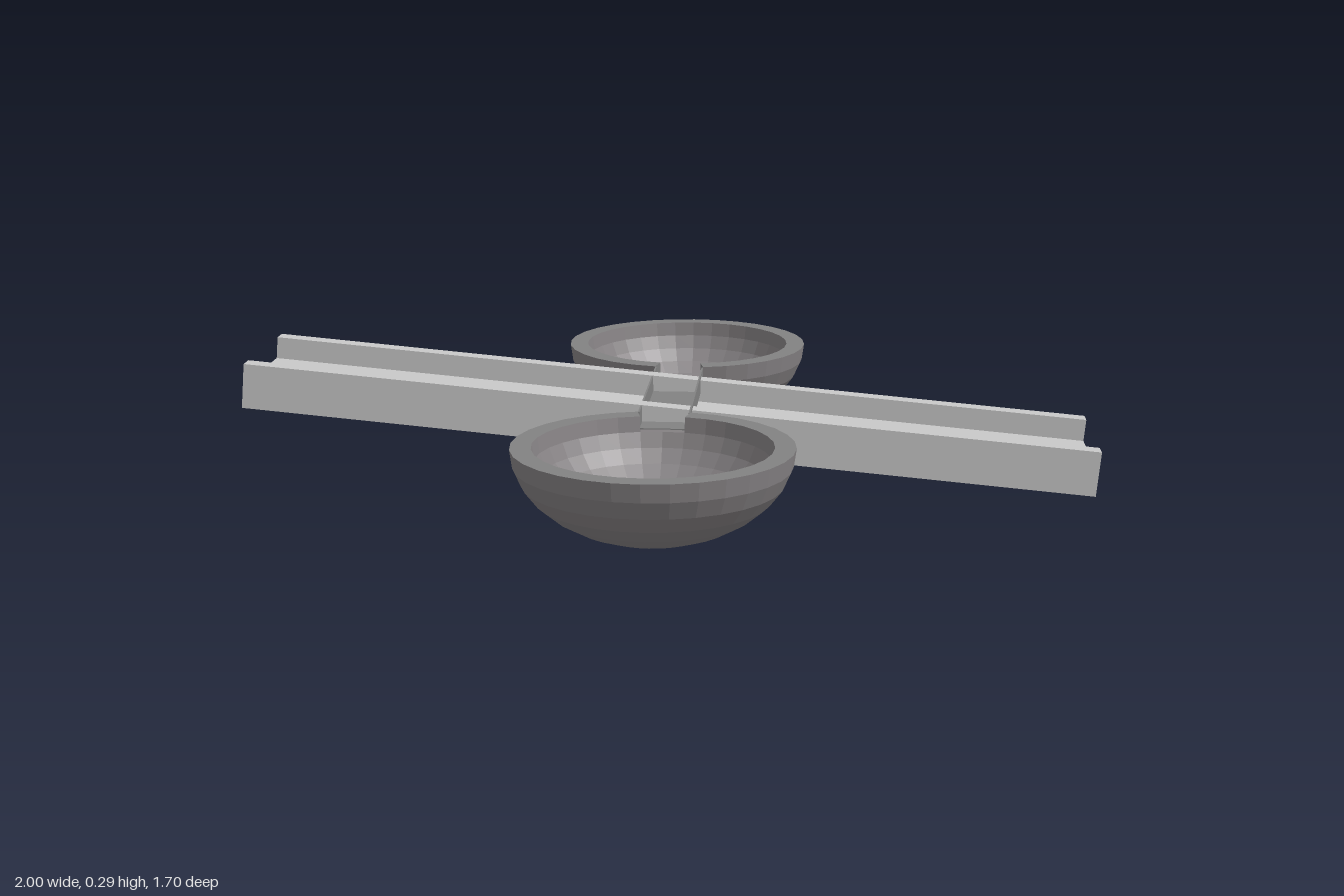
import * as THREE from 'three';

export function createModel() {
  const model = new THREE.Group();
  const plankGrey = new THREE.MeshStandardMaterial({ color: 0xc6c6c6 });
  plankGrey.name = 'light grey';
  const bowlGrey = new THREE.MeshStandardMaterial({ color: 0x868284, side: THREE.DoubleSide });
  bowlGrey.name = 'warm grey';
  const channelGrey = new THREE.MeshStandardMaterial({ color: 0x828282, side: THREE.DoubleSide });
  channelGrey.name = 'mid grey';

  // Facets the geometry and adds it as a named mesh
  const add = (parent, name, geometry, material) => {
    const g = geometry.index ? geometry.toNonIndexed() : geometry;
    g.computeVertexNormals();
    const mesh = new THREE.Mesh(g, material);
    mesh.name = name;
    parent.add(mesh);
    return mesh;
  };
  const V = (x, y) => new THREE.Vector2(x, y);

  // Sloping trough: U section swept along x
  const L = 1.998, W = 0.175, R = 0.133, H = 0.053;
  const section = new THREE.Shape([
    V(-W, -H), V(W, -H), V(W, H), V(R, H), V(R, 0), V(-R, 0), V(-R, H), V(-W, H),
  ]);
  const troughGeo = new THREE.ExtrudeGeometry(section, { depth: L, bevelEnabled: false });
  troughGeo.translate(0, 0, -L / 2).rotateY(Math.PI / 2);
  const trough = add(model, 'slopingTrough', troughGeo, plankGrey);
  trough.position.y = 0.152;
  trough.rotation.z = -THREE.MathUtils.degToRad(5);

  // Half-ellipsoid bowls with a two-facet notch in the rim
  const SEG = 32, RINGS = 8, step = (Math.PI * 2) / SEG;
  const radius = 0.308, depth = 0.21, inner = 0.85;
  const point = (i, s) => {
    const a = (i / RINGS) * Math.PI / 2;
    return V(i === RINGS ? 0 : radius * s * Math.cos(a), depth - depth * s * Math.sin(a));
  };
  const bodyProfile = [];
  for (let i = RINGS; i >= 1; i--) bodyProfile.push(point(i, 1));
  for (let i = 1; i <= RINGS; i++) bodyProfile.push(point(i, inner));
  const rim = [point(1, 1), point(0, 1), point(0, inner), point(1, inner)];

  for (const side of [-1, 1]) {
    const bowl = new THREE.Group();
    bowl.name = side > 0 ? 'frontBowl' : 'backBowl';
    add(bowl, 'bowlBody', new THREE.LatheGeometry(bodyProfile, SEG), bowlGrey);
    // Rim band split so its flat top takes the channel colour
    const band = (from) => new THREE.LatheGeometry(rim.slice(from, from + 2), SEG - 2, step, step * (SEG - 2));
    add(bowl, 'rimOutside', band(0), bowlGrey);
    add(bowl, 'rimTop', band(1), channelGrey);
    add(bowl, 'rimInside', band(2), bowlGrey);
    for (const phi of [step, -step]) {
      const end = new THREE.ShapeGeometry(new THREE.Shape(rim));
      add(bowl, 'notchEnd', end.rotateY(phi - Math.PI / 2), channelGrey);
    }
    bowl.position.z = side * 0.54;
    bowl.rotation.y = side > 0 ? Math.PI : 0;
    model.add(bowl);
  }

  // Thin open channel joining the two notches
  const channel = new THREE.Group();
  channel.name = 'crossChannel';
  const half = radius * Math.sin(step), low = point(1, 1).y, len = 0.476;
  const floor = add(channel, 'channelFloor', new THREE.BoxGeometry(half * 2, 0.004, len), channelGrey);
  floor.position.y = low;
  for (const s of [-1, 1]) {
    const wall = add(channel, 'channelWall', new THREE.BoxGeometry(0.004, depth - low, len), channelGrey);
    wall.position.set(s * (half - 0.002), (depth + low) / 2 - 0.001, 0);
  }
  model.add(channel);
  return model;
}
